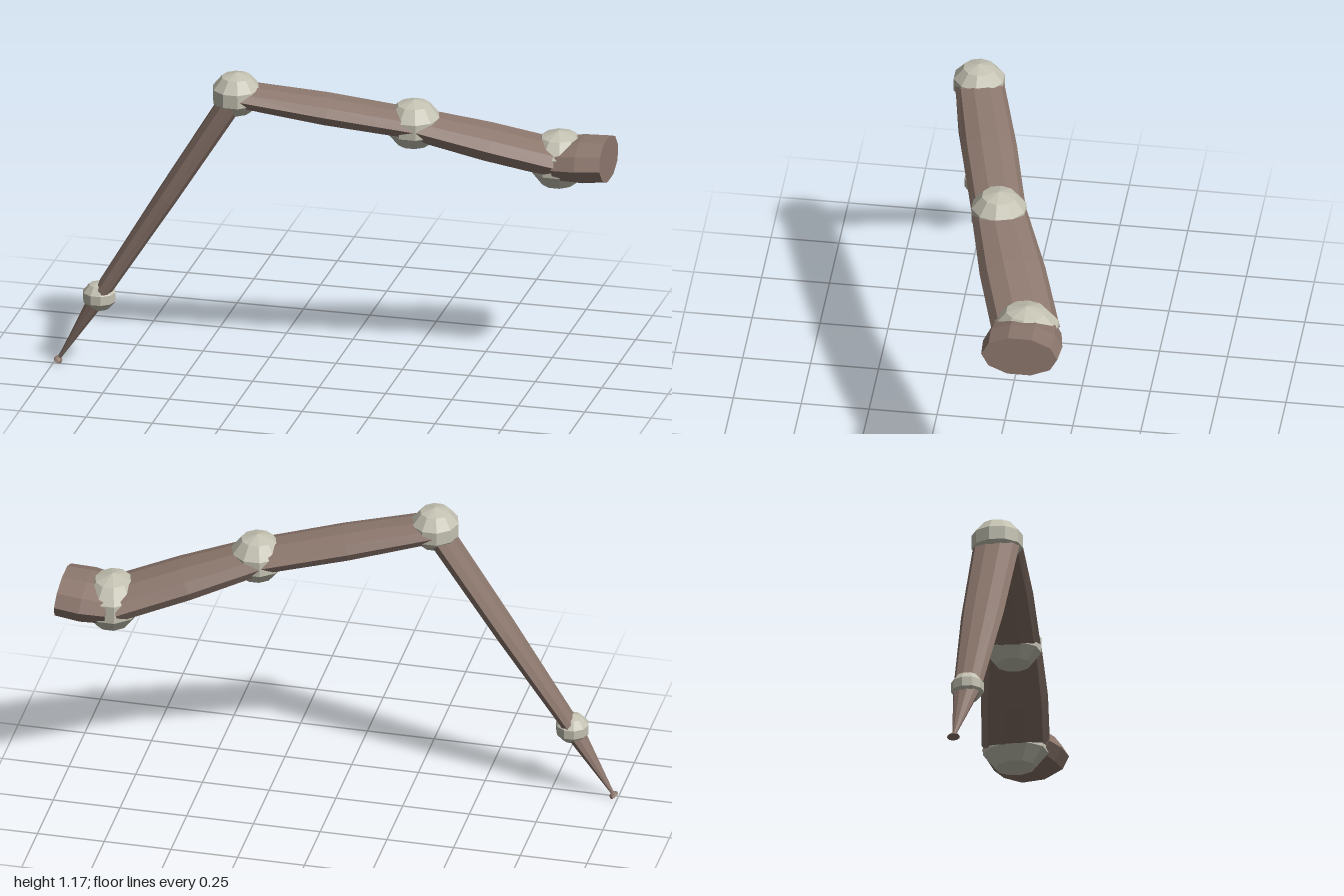
import * as THREE from 'three';

const SIDES = 10;

// Faceted limb between two points; stations are [fraction, half width, half height]
function limbGeometry(from, to, stations) {
  const a = new THREE.Vector3(...from), b = new THREE.Vector3(...to);
  const axis = b.clone().sub(a).normalize();
  const side = new THREE.Vector3(0, 1, 0).cross(axis).normalize();
  const up = axis.clone().cross(side);
  const pos = [], idx = [];
  stations.forEach(([t, w, h]) => {
    const c = a.clone().lerp(b, t);
    for (let k = 0; k < SIDES; k++) {
      const ang = (k / SIDES) * Math.PI * 2;
      const p = c.clone().addScaledVector(side, w * Math.cos(ang)).addScaledVector(up, h * Math.sin(ang));
      pos.push(p.x, p.y, p.z);
    }
  });
  for (let i = 0; i < stations.length - 1; i++) {
    for (let k = 0; k < SIDES; k++) {
      const p = i * SIDES + k, q = i * SIDES + (k + 1) % SIDES;
      idx.push(p, q, q + SIDES, p, q + SIDES, p + SIDES);
    }
  }
  // end caps
  const last = (stations.length - 1) * SIDES;
  for (let k = 1; k < SIDES - 1; k++) {
    idx.push(0, k + 1, k, last, last + k, last + k + 1);
  }
  const g = new THREE.BufferGeometry();
  g.setAttribute('position', new THREE.Float32BufferAttribute(pos, 3));
  g.setIndex(idx);
  const flat = g.toNonIndexed();
  flat.computeVertexNormals();
  return flat;
}

export function createModel() {
  const group = new THREE.Group();
  group.name = 'jointedLeg';
  const shell = new THREE.MeshStandardMaterial({ color: 0x8c776d, flatShading: true });
  shell.name = 'brown shell';
  const jointMat = new THREE.MeshStandardMaterial({ color: 0xc4c2b2, flatShading: true });
  jointMat.name = 'pale joint';

  const foot = [-0.986, 0.008, 0.239], ankle = [-0.83, 0.275, 0.238], knee = [-0.33, 1.09, 0.175];
  const middle = [0.297, 0.973, 0.015], hip = [0.80, 0.82, -0.155], root = [0.987, 0.837, -0.155];

  // Limb sections, from the foot tip to the root
  const limbs = [
    ['clawWithFootPad', foot, ankle, [[0, 0.025, 0.016], [0.025, 0.02, 0.015], [0.05, 0.007, 0.006], [1, 0.055, 0.034]]],
    ['shin', ankle, knee, [[0, 0.053, 0.03], [0.5, 0.079, 0.04], [1, 0.088, 0.045]]],
    ['thigh', knee, middle, [[0, 0.09, 0.045], [0.5, 0.102, 0.056], [1, 0.1, 0.052]]],
    ['upperThigh', middle, hip, [[0, 0.102, 0.055], [0.5, 0.122, 0.066], [1, 0.125, 0.066]]],
    ['rootStub', hip, root, [[0, 0.13, 0.075], [0.5, 0.146, 0.083], [1, 0.14, 0.079]]],
  ];
  for (const [name, from, to, stations] of limbs) {
    const mesh = new THREE.Mesh(limbGeometry(from, to, stations), shell);
    mesh.name = name;
    group.add(mesh);
  }

  // Faceted ball joints
  const ball = new THREE.SphereGeometry(1, SIDES, 5);
  const joints = [
    ['ankleJoint', ankle, [0.064, 0.056, 0.064]],
    ['kneeJoint', knee, [0.093, 0.083, 0.1]],
    ['middleJoint', middle, [0.103, 0.094, 0.108]],
    ['hipJoint', hip, [0.11, 0.111, 0.128]],
  ];
  for (const [name, at, size] of joints) {
    const mesh = new THREE.Mesh(ball, jointMat);
    mesh.name = name;
    mesh.position.set(...at);
    mesh.scale.set(...size);
    group.add(mesh);
  }
  return group;
}
